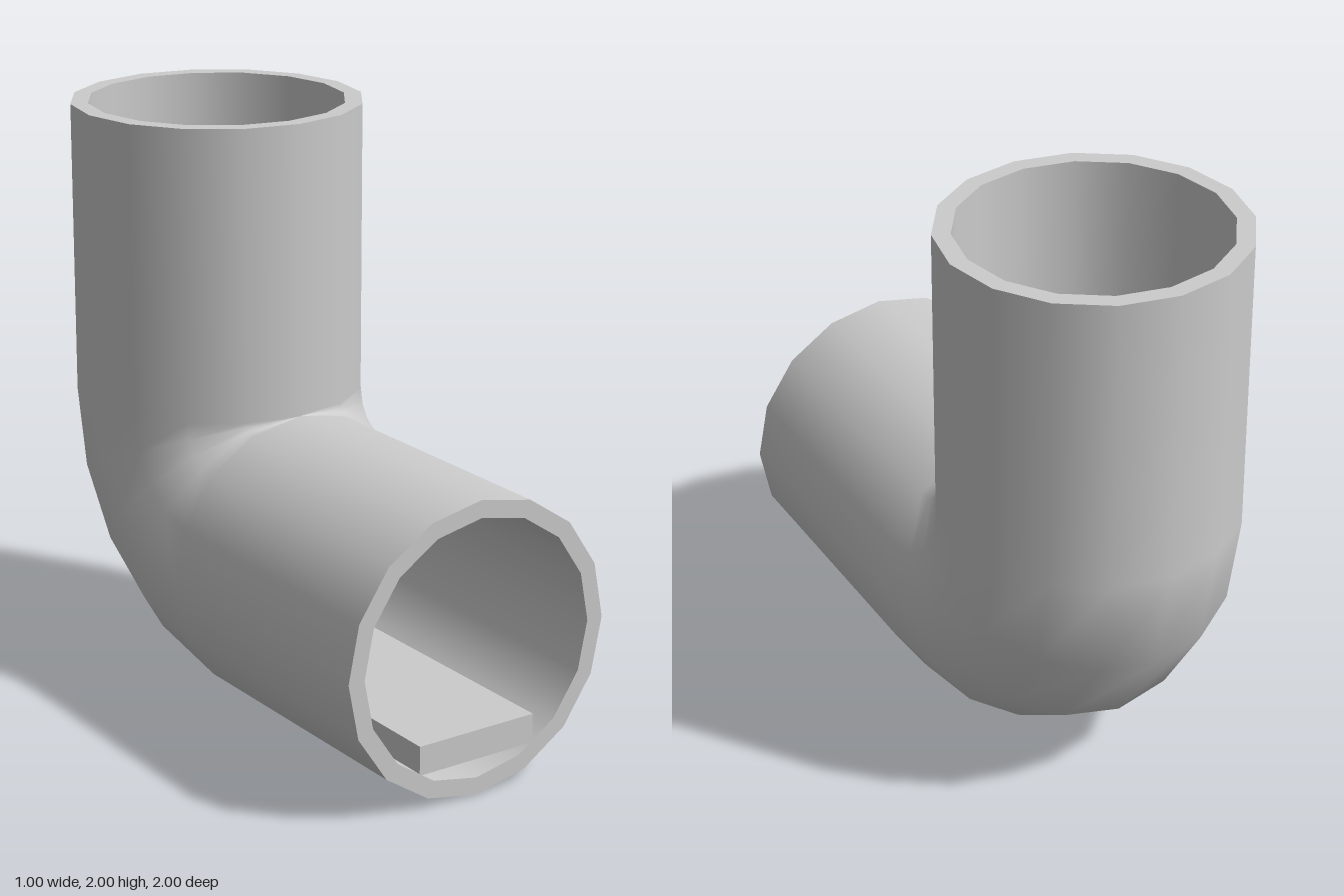
import * as THREE from 'three';

const SIDES = 16, BEND_STEPS = 4;
const OUTER = 0.5, INNER = 0.44, BEND = 0.5;

// Stations along the pipe: centre and the in-plane direction away from the bend's pivot.
function stations() {
  const list = [];
  const add = (angle, shift) => {
    const out = new THREE.Vector3(0, -Math.cos(angle), -Math.sin(angle));
    const center = new THREE.Vector3(0, 1, 0).addScaledVector(out, BEND).add(shift);
    list.push({ center, out });
  };
  const none = new THREE.Vector3();
  add(0, new THREE.Vector3(0, 0, 1));
  for (let i = 0; i <= BEND_STEPS; i++) add((i / BEND_STEPS) * Math.PI / 2, none);
  add(Math.PI / 2, new THREE.Vector3(0, 1, 0));
  return list;
}

// Smooth pipe wall of a given radius; inward walls face the pipe's axis.
function wall(path, radius, inward) {
  const pos = [], nor = [], idx = [];
  const sign = inward ? -1 : 1;
  for (const { center, out } of path) {
    for (let j = 0; j < SIDES; j++) {
      const a = (j / SIDES) * Math.PI * 2;
      const dir = out.clone().multiplyScalar(Math.cos(a));
      dir.x = Math.sin(a);
      pos.push(...center.clone().addScaledVector(dir, radius).toArray());
      nor.push(...dir.multiplyScalar(sign).toArray());
    }
  }
  for (let i = 0; i < path.length - 1; i++) {
    for (let j = 0; j < SIDES; j++) {
      const k = (j + 1) % SIDES;
      const a = i * SIDES + j, b = i * SIDES + k, c = a + SIDES, d = b + SIDES;
      if (inward) idx.push(a, b, c, b, d, c);
      else idx.push(a, c, b, b, c, d);
    }
  }
  const g = new THREE.BufferGeometry();
  g.setAttribute('position', new THREE.Float32BufferAttribute(pos, 3));
  g.setAttribute('normal', new THREE.Float32BufferAttribute(nor, 3));
  g.setIndex(idx);
  return g;
}

export function createModel() {
  const group = new THREE.Group();
  group.name = 'pipeElbow';
  const material = new THREE.MeshStandardMaterial({ color: 0xcccccc });
  const add = (name, geometry) => {
    const mesh = new THREE.Mesh(geometry, material);
    mesh.name = name;
    group.add(mesh);
    return mesh;
  };

  // Pipe walls
  const path = stations();
  add('outerWall', wall(path, OUTER, false));
  add('innerWall', wall(path, INNER, true));

  // Flat rims closing the wall thickness at both openings
  const rim = () => new THREE.RingGeometry(INNER, OUTER, SIDES);
  add('frontRim', rim()).position.set(0, 0.5, 1);
  const top = add('topRim', rim());
  top.rotation.x = -Math.PI / 2;
  top.position.set(0, 2, -0.5);

  // Walkway plate lying in the horizontal arm
  add('floorPlate', new THREE.BoxGeometry(0.45, 0.1, 1.3)).position.set(0, 0.175, 0.35);

  return group;
}
